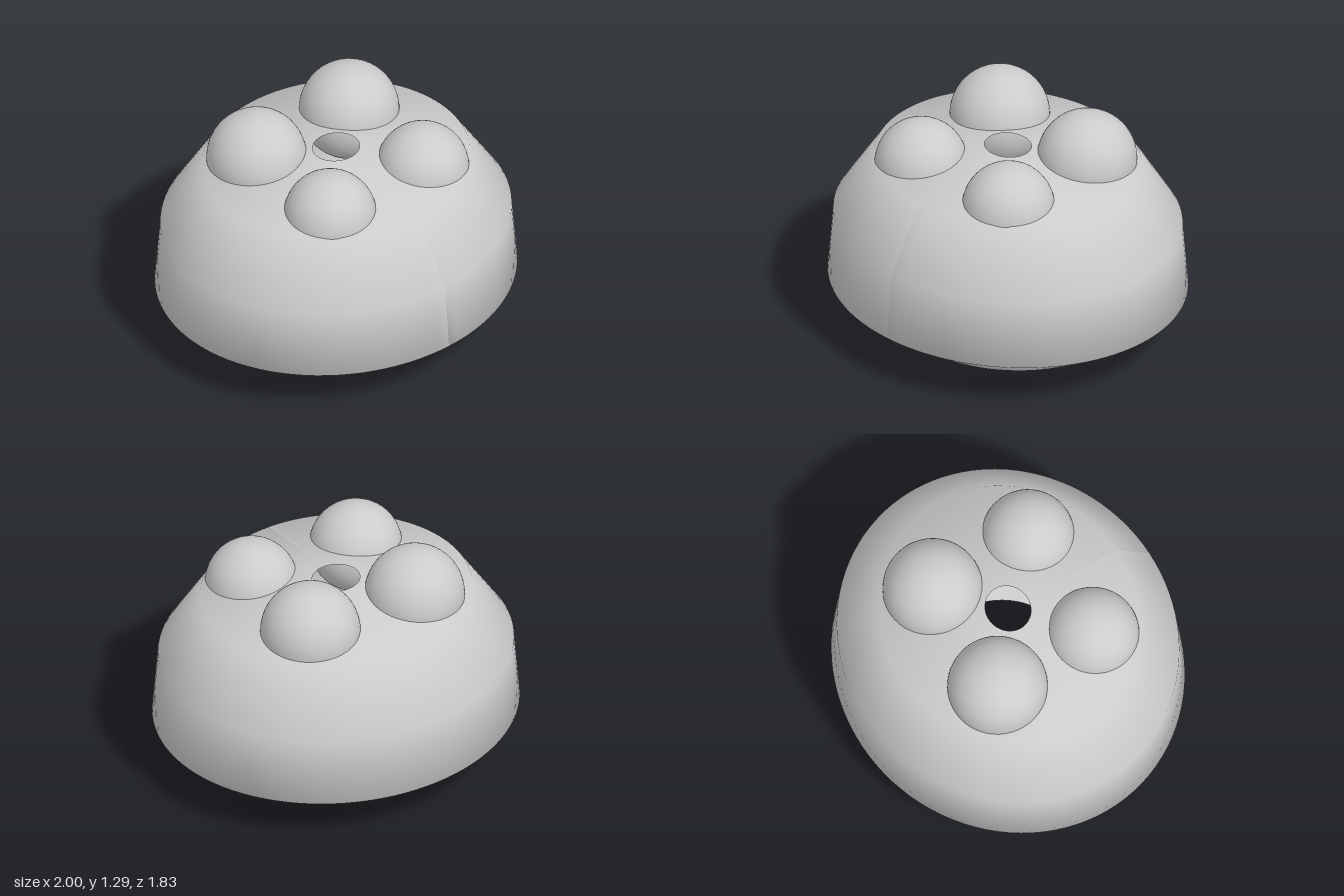
import * as THREE from 'three';

const DEPTH = 0.915; // the body is slightly oval

export function createModel() {
  const model = new THREE.Group();
  const material = new THREE.MeshStandardMaterial({ color: 0xcccccc, side: THREE.DoubleSide });

  // Hollow body: open underneath and with a small hole in the roof
  const profile = [
    [0.45, 0], [0.71, 0.09], [1, 0.275], [0.968, 0.65], [0.74, 1], [0.13, 1.08],
  ].map(([r, y]) => new THREE.Vector2(r, y));
  const bodyGeometry = new THREE.LatheGeometry(profile, 96);
  bodyGeometry.scale(1, 1, DEPTH);
  bodyGeometry.computeVertexNormals();
  const body = new THREE.Mesh(bodyGeometry, material);
  body.name = 'body';
  model.add(body);

  // Four domes sunk into the roof, larger pair at the back
  const domes = [
    { name: 'BackDome', radius: 0.267, y: 1.023, z: -0.268 },
    { name: 'FrontDome', radius: 0.248, y: 0.974, z: 0.327 },
  ];
  for (const { name, radius, y, z } of domes) {
    for (const side of [1, -1]) {
      const dome = new THREE.Mesh(new THREE.SphereGeometry(radius, 48, 32), material);
      dome.name = (side > 0 ? 'left' : 'right') + name;
      dome.position.set(side * 0.325, y, z);
      model.add(dome);
    }
  }
  return model;
}
